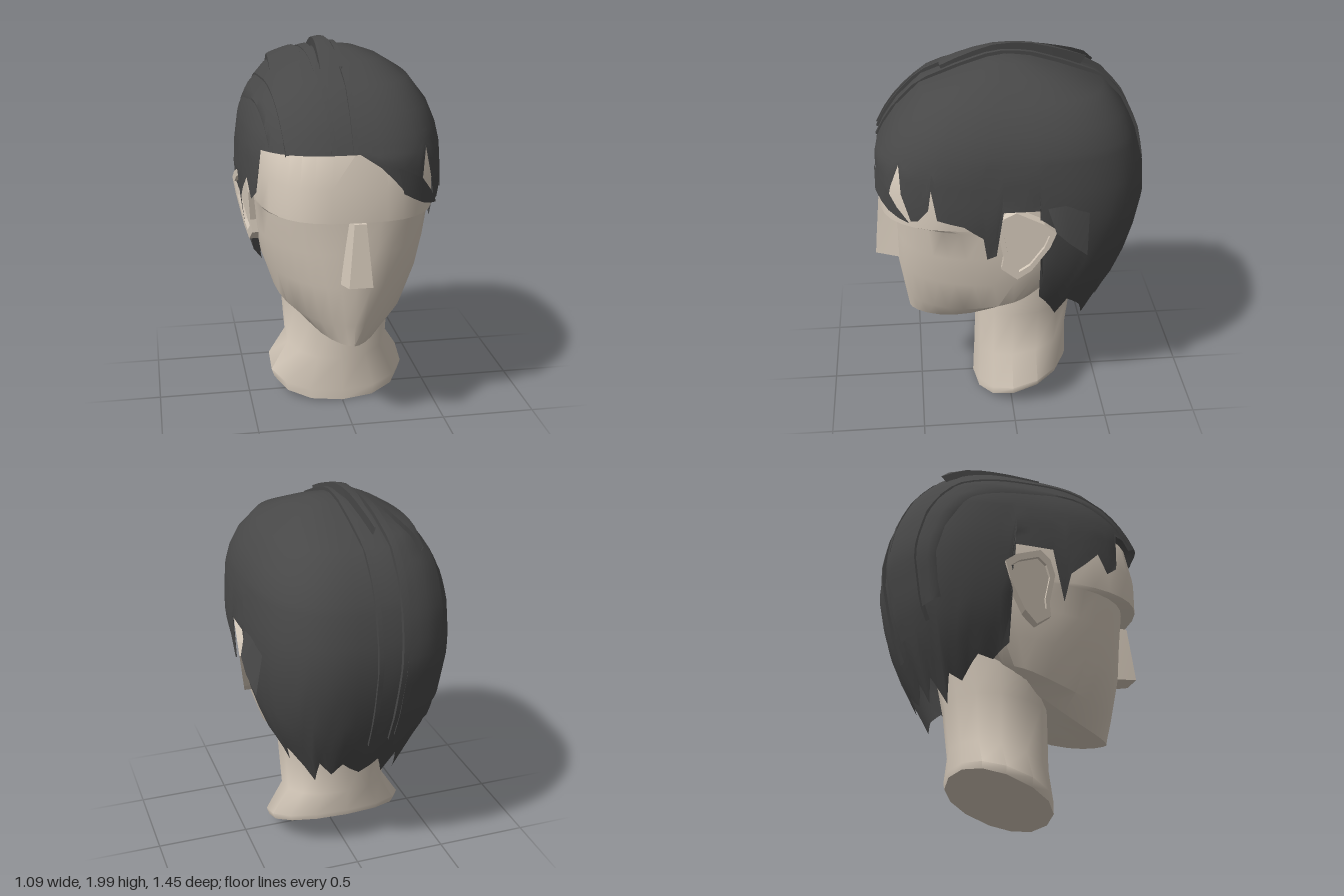
import * as THREE from 'three';
import { toCreasedNormals } from 'three/addons/utils/BufferGeometryUtils.js';

const skin = new THREE.MeshStandardMaterial({ color: 0xd6cabb });
const hairMat = new THREE.MeshStandardMaterial({ color: 0x484848, side: THREE.DoubleSide });
const V = (x, y, z) => new THREE.Vector3(x, y, z);
const lerp = THREE.MathUtils.lerp;
const RAD = Math.PI / 180;
const spow = (v, e) => Math.sign(v) * Math.abs(v) ** e;

// Skins rows of points; rows run upward, columns counter-clockwise
function loft(rows, { closed = true, cap = false, crease = 0.6 } = {}) {
  const n = rows[0].length, pos = rows.flat().flatMap(p => p.toArray()), index = [];
  for (let r = 0; r < rows.length - 1; r++)
    for (let c = 0; c < (closed ? n : n - 1); c++) {
      const a = r * n + c, b = r * n + (c + 1) % n;
      index.push(a, b, b + n, a, b + n, a + n);
    }
  if (cap) {
    const mid = rows[0].reduce((s, p) => s.add(p), V(0, 0, 0)).divideScalar(n);
    pos.push(...mid.toArray());
    for (let c = 0; c < n; c++) index.push(rows.length * n, (c + 1) % n, c);
  }
  const g = new THREE.BufferGeometry();
  g.setAttribute('position', new THREE.Float32BufferAttribute(pos, 3));
  g.setIndex(index);
  return toCreasedNormals(g, crease);
}

// Tilted superellipse ring: front z/y, back z/y, half width, roundness
function ring([zF, yF, zB, yB, w, n], sides, zc = 0, bend = 1) {
  return Array.from({ length: sides }, (_, i) => {
    const a = i / sides * Math.PI * 2, k = spow(Math.cos(a), 2 / n);
    const z = zc + k * (k > 0 ? zF - zc : zc - zB);
    const t = Math.max(0, (zF - z) / (zF - zB));
    return V(w * spow(Math.sin(a), 2 / n), lerp(yF, yB, t ** bend), z);
  });
}

// Hair envelope by height: y, half width, front z, back z
const TOP = 1.96;
const ENV = [
  [0.45, 0.27, 0.4, 0.45], [0.65, 0.34, 0.5, 0.52], [0.8, 0.42, 0.6, 0.6], [1, 0.48, 0.66, 0.67],
  [1.24, 0.51, 0.69, 0.715], [1.33, 0.51, 0.705, 0.72], [1.5, 0.5, 0.695, 0.69], [1.6, 0.48, 0.645, 0.65],
  [1.7, 0.44, 0.575, 0.6], [1.82, 0.35, 0.45, 0.49], [1.9, 0.22, 0.24, 0.27], [1.945, 0.1, 0.1, 0.12], [TOP, 0.001, 0.001, 0.001],
];
function envelope(y) {
  let i = 0;
  while (i < ENV.length - 2 && ENV[i + 1][0] < y) i++;
  const t = (y - ENV[i][0]) / (ENV[i + 1][0] - ENV[i][0]);
  return [1, 2, 3].map(k => Math.max(0.001, lerp(ENV[i][k], ENV[i + 1][k], t)));
}
// The model's right side is a little fuller, most of all at the back
const LEFT = 1.06;
const roundness = (x, z) => (x < 0 && z < 0 ? 3 : 2.75);
function hairPoint(deg, y) {
  const [w, f, b] = envelope(y), sn = Math.sin(deg * RAD), cs = Math.cos(deg * RAD), e = 2 / roundness(sn, cs);
  const s = spow(sn, e), c = spow(cs, e);
  return V(s * w * (s < 0 ? LEFT : 1), y, c * (c > 0 ? f : b));
}
// Point on the envelope at x, seen from the head centre at an angle in the side plane
function onHair(x, deg, lift) {
  const dy = Math.sin(deg * RAD), dz = Math.cos(deg * RAD);
  let lo = 0, hi = 1;
  for (let i = 0; i < 24; i++) {
    const m = (lo + hi) / 2, y = 1.25 + m * dy, z = m * dz, [w, f, b] = envelope(y), n = roundness(x, z);
    const inside = y < TOP && Math.abs(x / (x < 0 ? w * LEFT : w)) ** n + Math.abs(z / (z > 0 ? f : b)) ** n < 1;
    if (inside) lo = m; else hi = m;
  }
  return V(x, 1.25 + (lo + lift) * dy, (lo + lift) * dz);
}

// Hairline: angle from the front (positive = model's left), lower edge y
const HAIRLINE = [
  [-180, 0.58], [-172, 0.66], [-165, 0.55], [-155, 0.66], [-142, 0.52], [-135, 0.66], [-125, 0.62], [-112, 0.74],
  [-104, 0.72], [-97, 0.8], [-95, 1.32], [-88, 1.32], [-84, 1.04], [-82, 1.2], [-70, 1.35], [-64, 1.25], [-58, 1.3],
  [-55, 1.52], [0, 1.53], [18, 1.34], [29, 1.3], [33, 1.4], [38, 1.53], [42, 1.38], [47, 1.24], [52, 1.25],
  [59, 1.32], [60.5, 1.43], [63, 1.27], [75, 1.24], [82, 1.17], [83, 1.04], [86, 1.06], [88, 1.32], [95, 1.32],
  [96, 1], [98, 0.74], [111, 0.57], [116, 0.68], [131, 0.6], [141, 0.51], [150, 0.66], [160, 0.58], [170, 0.66], [180, 0.58],
];
function hairCap() {
  const cols = [];
  HAIRLINE.slice(0, -1).forEach(([a, y], i) => {
    const [a2, y2] = HAIRLINE[i + 1], n = Math.ceil((a2 - a) / 6);
    for (let k = 0; k < n; k++) cols.push([lerp(a, a2, k / n), lerp(y, y2, k / n)]);
  });
  const rows = [];
  for (let k = 0; k <= 6; k++) rows.push(cols.map(([a, y]) => hairPoint(a, lerp(y, 1.56, k / 6))));
  for (const y of [1.6, 1.7, 1.82, 1.9, 1.945, TOP]) rows.push(cols.map(([a]) => hairPoint(a, y)));
  return loft(rows, { crease: 1 });
}
// Raised band of hair running from the front over the crown
function band(a0, a1, steps, x0, x1, lift) {
  const rows = [];
  for (let i = 0; i <= steps; i++) {
    const t = i / steps, a = lerp(a0, a1, t), l = x0(t), r = x1(t), h = lift(t);
    const top = [0, 0.25, 0.5, 0.75, 1].map(u => onHair(lerp(l, r, u), a, h));
    rows.push([onHair(l, a, -0.02), ...top, onHair(r, a, -0.02)]);
  }
  return loft(rows, { closed: false, crease: 0.7 });
}

// Ear outline (backward, up), flared outward toward the back
const EAR = [[-0.09, 1.2], [-0.06, 1.04], [-0.07, 0.97], [0.01, 0.91], [0.08, 0.97], [0.17, 1.12], [0.2, 1.21], [0.14, 1.26], [0, 1.32], [-0.06, 1.28]];
function earPart(scale, depth, holeScale) {
  const outline = s => EAR.map(([u, v]) => new THREE.Vector2(0.05 + (u - 0.05) * s, 1.13 + (v - 1.13) * s));
  const shape = new THREE.Shape(outline(scale));
  if (holeScale) shape.holes.push(new THREE.Path(outline(holeScale)));
  const g = new THREE.ExtrudeGeometry(shape, { depth, bevelEnabled: false });
  const p = g.attributes.position;
  for (let i = 0; i < p.count; i++) {
    const u = p.getX(i), v = p.getY(i), d = p.getZ(i);
    p.setXYZ(i, 0.43 + d + 0.2 * (u + 0.08) + 0.1 * (v - 1.2), v, -u);
  }
  g.computeVertexNormals();
  return g;
}

export function createModel() {
  const model = new THREE.Group();
  model.name = 'headWithHair';
  const add = (name, geo, mat, parent = model) => {
    const m = new THREE.Mesh(geo, mat);
    m.name = name;
    parent.add(m);
  };

  // Head, from jaw to scalp
  const headRings = [
    [0.55, 0.48, -0.15, 0.74, 0.27, 1.5], [0.57, 0.6, -0.3, 0.8, 0.365, 1.75], [0.605, 0.82, -0.48, 0.9, 0.42, 2.05],
    [0.6, 1, -0.58, 1.05, 0.445, 2.4], [0.605, 1.17, -0.64, 1.17, 0.46, 2.7], [0.685, 1.19, -0.64, 1.19, 0.46, 2.9],
    [0.685, 1.36, -0.66, 1.36, 0.46, 2.9], [0.65, 1.55, -0.62, 1.55, 0.44, 2.75], [0.46, 1.74, -0.48, 1.74, 0.34, 2.5], [0.05, 1.86, -0.05, 1.86, 0.04, 2],
  ];
  add('head', loft(headRings.map(r => ring(r, 36, 0, 1.8)), { cap: true }), skin);

  // Neck with flared, slanted base
  const neckRings = [
    [0.2, 0.005, -0.33, 0.21, 0.365, 2.2], [0.198, 0.06, -0.335, 0.24, 0.38, 2.2], [0.188, 0.25, -0.33, 0.36, 0.285, 2.2],
    [0.18, 0.55, -0.36, 0.6, 0.305, 2.2], [0.16, 0.82, -0.42, 0.88, 0.32, 2.2],
  ];
  add('neck', loft(neckRings.map(r => ring(r, 14, -0.07)), { cap: true, crease: 1 }), skin);

  // Nose wedge
  const nose = new THREE.BoxGeometry(1, 1, 1);
  const p = nose.attributes.position;
  for (let i = 0; i < p.count; i++) {
    const sx = Math.sign(p.getX(i)), top = p.getY(i) > 0, front = p.getZ(i) > 0;
    if (top) p.setXYZ(i, sx * (front ? 0.03 : 0.04), 1.185, front ? 0.69 : 0.58);
    else p.setXYZ(i, sx * (front ? 0.06 : 0.085), front ? 0.865 : 0.84, front ? 0.72 : 0.57);
  }
  nose.computeVertexNormals();
  add('nose', nose, skin);

  // Ears: rim and sunken inner plate
  for (const side of [1, -1]) {
    const ear = new THREE.Group();
    ear.name = side > 0 ? 'leftEar' : 'rightEar';
    add('earRim', earPart(1, 0.06, 0.78), skin, ear);
    add('earInner', earPart(0.8, 0.04), skin, ear);
    ear.scale.x = side;
    model.add(ear);
  }

  // Hair: cap, layered bands and loose tufts
  const hair = new THREE.Group();
  hair.name = 'hair';
  model.add(hair);
  const bow = t => Math.sin(t * Math.PI);
  add('hairCap', hairCap(), hairMat, hair);
  add('partingRidge', band(23, 217, 30, () => -0.035, () => -0.01, t => 0.01 + 0.01 * bow(t)), hairMat, hair);
  add('crownBand', band(23, 215, 30, t => -0.14 - 0.05 * bow(t), t => -0.115 - 0.035 * bow(t), t => 0.012 + 0.014 * bow(t)), hairMat, hair);
  add('sideBand', band(24, 212, 30, t => -0.35 - 0.06 * bow(t), t => -0.14 - 0.04 * bow(t), () => 0.02), hairMat, hair);
  add('lowerSideBand', band(30, 205, 30, t => -0.42 - 0.06 * bow(t), t => -0.34 - 0.06 * bow(t), () => 0.01), hairMat, hair);
  add('crownTuft', band(62, 123, 8, t => lerp(-0.14, -0.1, t), t => lerp(-0.03, -0.095, t), t => 0.035 + 0.02 * t), hairMat, hair);
  add('sideTuft', band(85, 132, 8, t => lerp(-0.36, -0.325, t), t => lerp(-0.2, -0.32, t * t), t => 0.025 + 0.035 * t), hairMat, hair);

  // Swept fringe lock, tapering to a tip over the temple
  const lock = pts => pts.map(([a, y]) => hairPoint(a, y).multiply(V(1.02, 1, 1.02)));
  add('fringeLock', loft([
    lock([[17, 1.33], [24, 1.295], [31, 1.265], [40, 1.245], [47, 1.235]]),
    lock([[14, 1.46], [22, 1.43], [31, 1.39], [40, 1.31], [47, 1.24]]),
  ], { closed: false }), hairMat, hair);

  // Flap of hair behind the left ear
  add('earFlap', loft([
    [V(0.54, 1.21, -0.2), V(0.535, 1.14, -0.27), V(0.51, 1.055, -0.365)],
    [V(0.505, 1.33, -0.16), V(0.5, 1.34, -0.25), V(0.475, 1.28, -0.375)],
  ], { closed: false }), hairMat, hair);

  return model;
}
